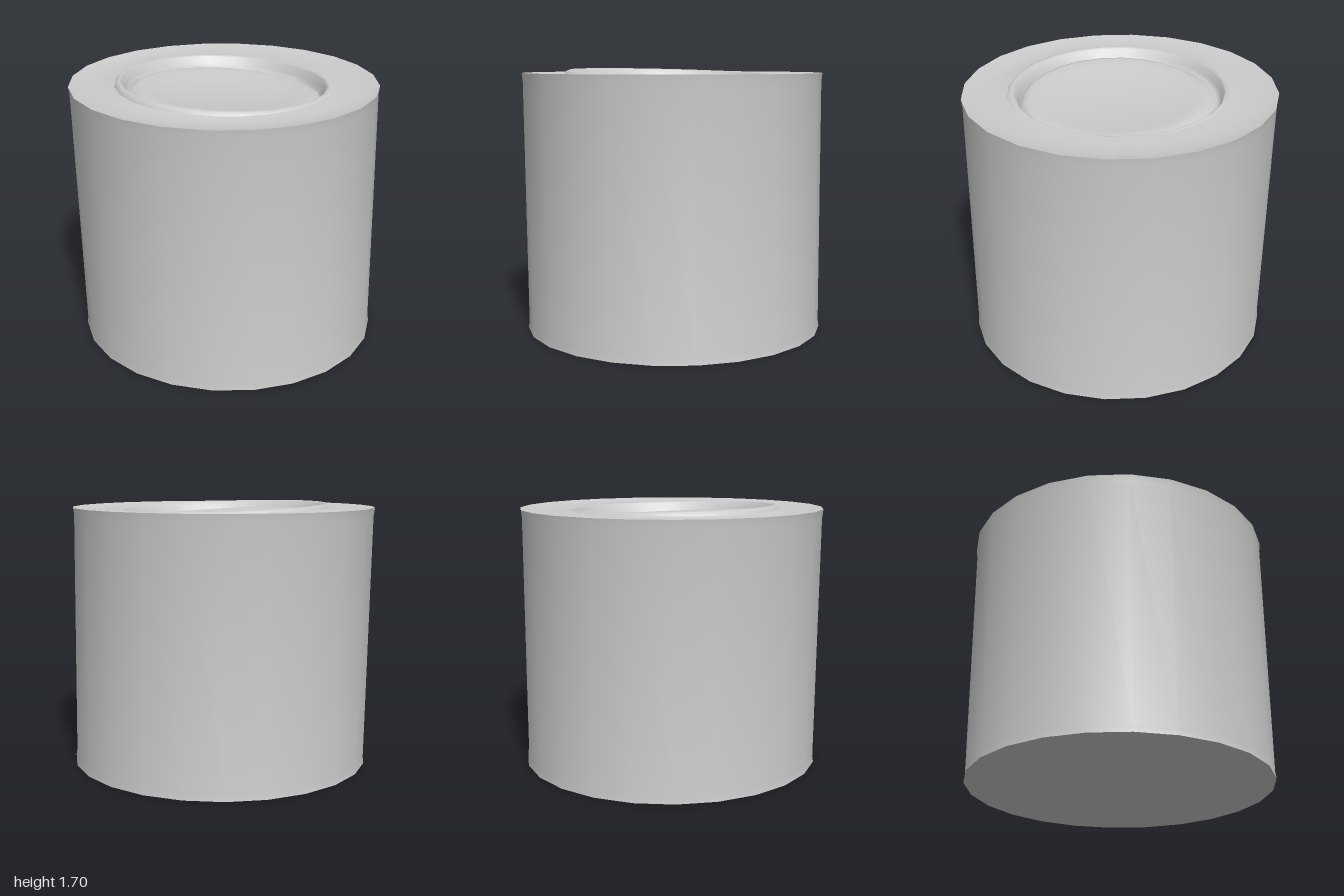
import * as THREE from 'three';
import { toCreasedNormals } from 'three/addons/utils/BufferGeometryUtils.js';

const HEIGHT = 1.675;
const DEPTH_RATIO = 0.986; // the can is slightly oval

// Lathe whose rings may tilt towards the front and shift to the front left.
// Each ring is [radius, height, rise at the front, shift].
function tiltedLathe(name, rings, crease) {
  const geometry = new THREE.LatheGeometry(rings.map(([r, y]) => new THREE.Vector2(r, y)), 24);
  const pos = geometry.attributes.position;
  for (let i = 0; i < pos.count; i++) {
    const [r, y, tilt = 0, shift = 0] = rings[i % rings.length];
    const x = pos.getX(i);
    const z = pos.getZ(i);
    const lean = y / HEIGHT; // the whole can leans slightly to the front right corner
    pos.setXYZ(
      i,
      x + shift + 0.011 - 0.018 * lean,
      y + (r > 0 ? (tilt * (z - 0.25 * x)) / r : 0),
      z * DEPTH_RATIO + shift - 0.012 + 0.019 * lean
    );
  }
  const material = new THREE.MeshStandardMaterial({ color: 0xcccccc });
  const mesh = new THREE.Mesh(toCreasedNormals(geometry, crease), material);
  mesh.name = name;
  return mesh;
}

export function createModel() {
  const group = new THREE.Group();
  group.name = 'can';

  // Flat base, wall with slightly flared ends, and top border dipping inward
  group.add(tiltedLathe('body', [
    [0, 0],
    [0.986, 0],
    [0.98, 0.04],
    [0.985, 1.62],
    [0.992, HEIGHT],
    [0.96, 1.668],
    [0.88, 1.657],
    [0.8, 1.655],
    [0.735, 1.66, 0.002, 0.01],
    [0.698, 1.664, 0.005, 0.012],
  ], 0.9));

  // Tilted lid: rim flush at the back and raised at the front, a groove, and a dished disc
  group.add(tiltedLathe('lid', [
    [0.698, 1.664, 0.005, 0.012],
    [0.686, 1.677, 0.017, 0.01],
    [0.672, 1.681, 0.02, 0.006],
    [0.658, 1.672, 0.021, 0.004],
    [0.64, 1.622, 0.026, 0],
    [0.622, 1.598, 0.028, 0.004],
    [0.605, 1.606, 0.028, 0.012],
    [0.575, 1.625, 0.028, 0.022],
    [0.545, 1.629, 0.027, 0.022],
    [0.48, 1.62, 0.024, 0.02],
    [0.3, 1.599, 0.015, 0.015],
    [0, 1.588, 0, 0.01],
  ], 1.2));

  return group;
}
